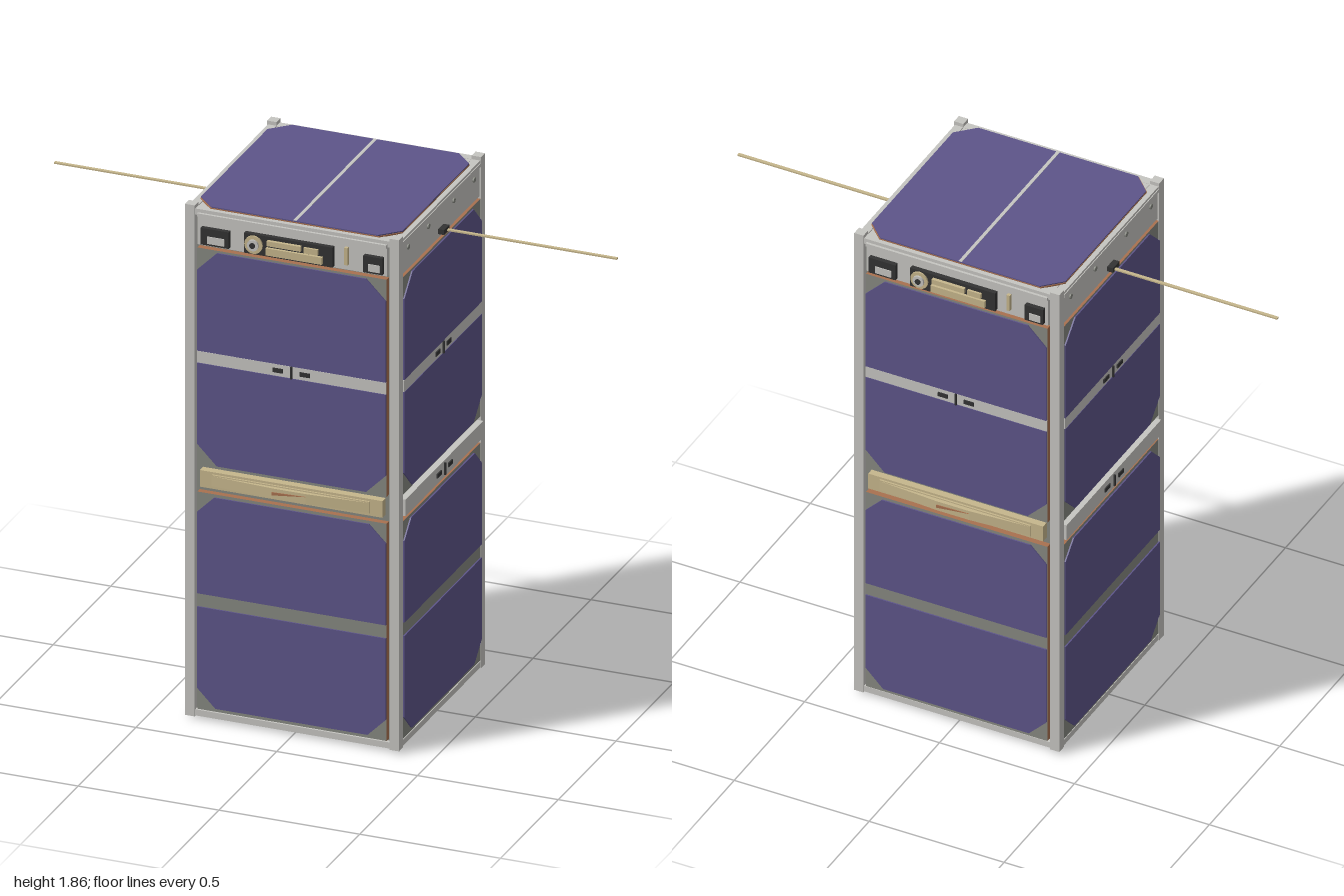
import * as THREE from 'three';

const mat = (name, color, side = THREE.FrontSide) => {
  const m = new THREE.MeshStandardMaterial({ color, side });
  m.name = name;
  return m;
};

export function createModel() {
  const cell = mat('solar cell violet', 0x5d5589);
  const light = mat('light aluminium', 0xc6c5c1);
  const mid = mat('board grey', 0x868880);
  const gold = mat('pale gold', 0xc6b68c);
  const dark = mat('dark grey', 0x333333);
  const edge = mat('board edge brown', 0xa8714f);

  const model = new THREE.Group();
  model.name = 'smallSatellite';
  const add = (parent, name, geo, material, x, y, z) => {
    const m = new THREE.Mesh(geo, material);
    m.name = name;
    m.position.set(x, y, z);
    parent.add(m);
    return m;
  };
  // Box given by centre in x and y, and by its back and front in z
  const plate = (parent, name, material, x, y, w, h, z0, z1) =>
    add(parent, name, new THREE.BoxGeometry(w, h, z1 - z0), material, x, y, (z0 + z1) / 2);

  // Flat panel with chosen corners cut off (c = bottom cut, d = top cut)
  function cutPanel(w, h, bottom, top, depth) {
    const x = w / 2, y = h / 2, pts = [];
    const corner = (sx, sy, cut, flip) => {
      if (!cut) return pts.push(new THREE.Vector2(sx * x, sy * y));
      const a = new THREE.Vector2(sx * (x - cut), sy * y);
      const b = new THREE.Vector2(sx * x, sy * (y - cut));
      pts.push(...(flip ? [b, a] : [a, b]));
    };
    corner(1, -1, bottom, false);
    corner(1, 1, top, true);
    corner(-1, 1, top, false);
    corner(-1, -1, bottom, true);
    return new THREE.ExtrudeGeometry(new THREE.Shape(pts), { depth, bevelEnabled: false });
  }

  // Core and frame
  const body = new THREE.Group();
  body.name = 'body';
  body.position.z = -0.005;
  model.add(body);
  plate(body, 'core', mid, 0, 0.93, 0.72, 1.80, -0.352, 0.352);
  for (const sx of [-1, 1]) for (const sz of [-1, 1])
    add(body, 'cornerRail', new THREE.BoxGeometry(0.034, 1.847, 0.034), light, sx * 0.363, 0.9335, sz * 0.355);
  for (const y of [0.023, 1.833]) {
    for (const s of [-1, 1]) {
      add(body, 'crossBar', new THREE.BoxGeometry(0.70, 0.022, 0.03), light, 0, y, s * 0.352);
      add(body, 'crossBar', new THREE.BoxGeometry(0.03, 0.022, 0.69), light, s * 0.362, y, 0);
    }
  }

  // Parts common to all four walls; o is the outer surface of the boards
  function wall(name, angle, o) {
    const g = new THREE.Group();
    g.name = name;
    g.rotation.y = angle;
    body.add(g);
    const board = [edge, edge, edge, edge, mid, mid];
    plate(g, 'upperBoard', board, 0, 1.315, 0.672, 0.785, o - 0.03, o);
    plate(g, 'lowerBoard', board, 0, 0.433, 0.672, 0.785, o - 0.03, o);
    for (const [y0, y1, b, t] of [[1.337, 1.70, 0, 0.07], [0.93, 1.293, 0.07, 0],
      [0.46, 0.815, 0, 0.06], [0.053, 0.412, 0.065, 0]])
      add(g, 'solarCell', cutPanel(0.67, y1 - y0, b, t, 0.005), cell, 0, (y0 + y1) / 2, o);
    plate(g, 'upperStrip', light, 0, 1.315, 0.672, 0.042, o, o + 0.004);
    clips(g, 1.315, o + 0.004);
    return g;
  }

  // Seam and two little sockets in the middle of a strip
  function clips(g, y, z) {
    plate(g, 'seam', dark, 0, y, 0.006, 0.044, z - 0.004, z + 0.006);
    for (const s of [-1, 1]) plate(g, 'socket', dark, s * 0.048, y, 0.036, 0.015, z, z + 0.004);
  }

  // Front and back: instruments and patch antenna
  function instrumentWall(name, angle) {
    const o = 0.373, g = wall(name, angle, o);
    plate(g, 'instrumentPanel', light, 0, 1.772, 0.672, 0.108, 0.345, 0.37);
    plate(g, 'panelLip', light, 0, 1.826, 0.672, 0.012, 0.345, 0.376);
    // Connector blocks
    for (const [x, w] of [[-0.27, 0.10], [0.292, 0.068]]) {
      plate(g, 'connector', dark, x, 1.757, w, 0.06, 0.37, 0.386);
      plate(g, 'connectorFace', light, x + 0.005, 1.747, w * 0.6, 0.026, 0.386, 0.389);
    }
    // Camera unit
    plate(g, 'cameraHousing', dark, -0.008, 1.76, 0.315, 0.072, 0.37, 0.386);
    plate(g, 'cameraUpperBar', gold, -0.02, 1.776, 0.12, 0.018, 0.386, 0.398);
    plate(g, 'cameraLowerBar', gold, 0.015, 1.745, 0.20, 0.026, 0.386, 0.396);
    plate(g, 'cameraSideBar', gold, 0.075, 1.772, 0.05, 0.02, 0.386, 0.394);
    for (const [r, z, m] of [[0.032, 0.392, gold], [0.02, 0.399, light], [0.01, 0.403, dark]])
      add(g, 'lens', new THREE.CylinderGeometry(r, r, 0.016, 24), m, -0.13, 1.76, z - 0.008).rotation.x = Math.PI / 2;
    plate(g, 'sensorBar', gold, 0.195, 1.77, 0.012, 0.062, 0.37, 0.382);
    // Layered patch antenna, raised towards the middle
    plate(g, 'antennaTray', gold, 0, 0.878, 0.648, 0.06, 0.35, 0.38);
    plate(g, 'antennaPlate', gold, 0, 0.878, 0.56, 0.044, 0.38, 0.386);
    const dome = new THREE.Shape([[-0.28, 0], [0.28, 0], [0.06, 0.014], [-0.06, 0.014]]
      .map(([x, y]) => new THREE.Vector2(x, y)));
    const domeGeo = new THREE.ExtrudeGeometry(dome, { depth: 0.036, bevelEnabled: false });
    domeGeo.rotateX(Math.PI / 2);
    add(g, 'antennaRidge', domeGeo, gold, 0, 0.896, 0.386);
    const wedge = new THREE.Shape([[-0.06, -0.008], [0.06, 0.006], [-0.06, 0.003]]
      .map(([x, y]) => new THREE.Vector2(x, y)));
    add(g, 'antennaFeed', new THREE.ExtrudeGeometry(wedge, { depth: 0.003, bevelEnabled: false }), edge, 0, 0.88, 0.4);
  }
  instrumentWall('frontWall', 0);
  instrumentWall('backWall', Math.PI);

  // Left and right: plain covers and whip antennas
  for (const s of [-1, 1]) {
    const g = wall(s > 0 ? 'leftWall' : 'rightWall', s * Math.PI / 2, 0.379);
    plate(g, 'topCover', light, 0, 1.775, 0.672, 0.118, 0.35, 0.375);
    plate(g, 'coverLip', light, 0, 1.829, 0.672, 0.012, 0.35, 0.38);
    for (const x of [-0.285, -0.11, 0.11, 0.285])
      add(g, 'screw', new THREE.CylinderGeometry(0.009, 0.009, 0.006, 12), mid, x, 1.797, 0.377).rotation.x = Math.PI / 2;
    plate(g, 'whipMount', dark, 0, 1.74, 0.046, 0.018, 0.375, 0.397);
    plate(g, 'middleStrip', light, 0, 0.876, 0.672, 0.06, 0.35, 0.388);
    clips(g, 0.876, 0.388);
    add(body, 'whipAntenna', new THREE.BoxGeometry(0.61, 0.005, 0.012), gold, s * 0.695, 1.738, -0.008);
  }

  // Top and bottom lids with large cells
  function lid(name, angle, y, seamAngle) {
    const g = new THREE.Group();
    g.name = name;
    g.rotation.x = angle;
    g.position.y = y;
    body.add(g);
    plate(g, 'lidBoard', light, 0, 0, 0.69, 0.69, -0.03, -0.005);
    add(g, 'lidEdge', cutPanel(0.718, 0.70, 0.06, 0.06, 0.005), edge, 0, 0, -0.005);
    add(g, 'lidCell', cutPanel(0.716, 0.698, 0.062, 0.062, 0.004), cell, 0, 0, 0);
    const seam = new THREE.Group();
    seam.name = 'lidSeam';
    seam.rotation.z = seamAngle;
    g.add(seam);
    plate(seam, 'seamStrip', light, 0, 0, 0.012, 0.696, 0, 0.005);
    return seam;
  }
  lid('topLid', -Math.PI / 2, 1.848, 0);
  const under = lid('bottomLid', Math.PI / 2, 0.012, Math.PI / 2);
  for (const s of [-1, 1]) plate(under, 'bottomSocket', dark, 0, s * 0.05, 0.015, 0.036, 0.004, 0.009);
  plate(under, 'bottomSeam', dark, 0, 0, 0.03, 0.008, 0.004, 0.012);

  return model;
}
